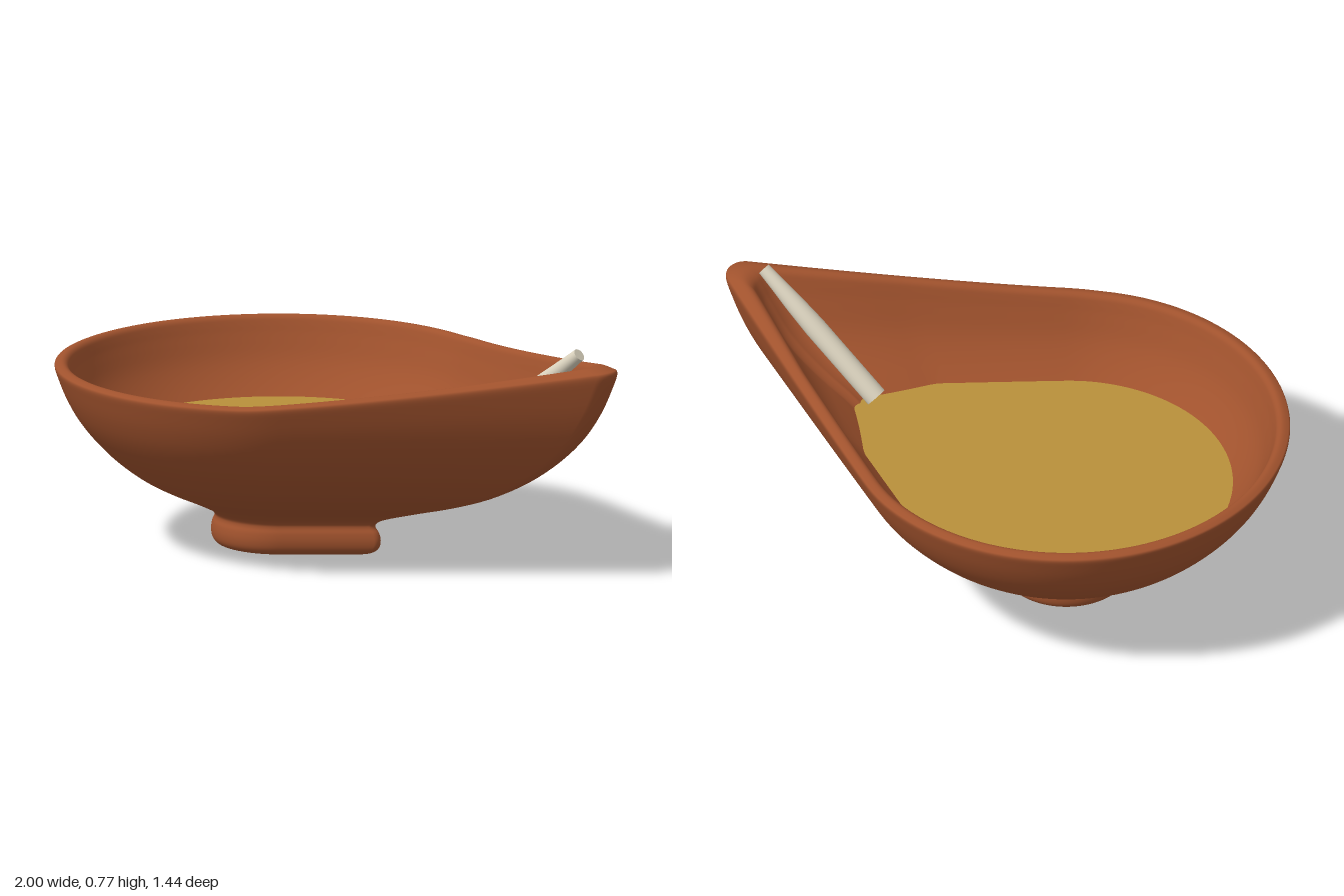
import * as THREE from 'three';

const CX = -0.28, R = 0.72, TIP = 0.07, TIP_X = 1.28 - TIP;

// Teardrop plan around the bowl centre: big arc, straight flanks, small rounded tip
function teardrop() {
  const a = Math.acos((R - TIP) / TIP_X); // direction where the flanks touch both arcs
  const half = [];
  for (let i = 0; i <= 10; i++) {
    const t = (a * i) / 10;
    half.push([TIP_X + TIP * Math.cos(t), TIP * Math.sin(t)]);
  }
  const [x0, z0] = half[10], x1 = R * Math.cos(a), z1 = R * Math.sin(a);
  for (let i = 1; i < 20; i++) half.push([x0 + ((x1 - x0) * i) / 20, z0 + ((z1 - z0) * i) / 20]);
  for (let i = 0; i <= 48; i++) {
    const t = a + ((Math.PI - a) * i) / 48;
    half.push([R * Math.cos(t), R * Math.sin(t)]);
  }
  const mirrored = half.slice(1, -1).reverse().map(([x, z]) => [x, -z]);
  return [...half, ...mirrored];
}

const plan = teardrop();

// 1 along the spout axis, fading to 0 at its flanks
const spout = ([x, z]) => Math.max(0, 1 - Math.abs(Math.atan2(z, x)) / 0.33);

// Joins scaled copies of the plan; place(scale, height, planPoint, ring) gives each vertex
function loft(profile, place) {
  const pos = [], idx = [], n = plan.length;
  profile.forEach(([s, y], j) => plan.forEach((p, i) => {
    pos.push(...place(s, y, p, j));
    if (j === profile.length - 1) return;
    const a = j * n + i, b = a + n, c = j * n + ((i + 1) % n), d = c + n;
    idx.push(a, b, c, c, b, d);
  }));
  const g = new THREE.BufferGeometry();
  g.setAttribute('position', new THREE.Float32BufferAttribute(pos, 3));
  g.setIndex(idx);
  g.computeVertexNormals();
  return g;
}

function mesh(name, geometry, color) {
  const m = new THREE.Mesh(geometry, new THREE.MeshStandardMaterial({ color }));
  m.name = name;
  return m;
}

// Clay bowl: foot, outer wall, rolled lip, inner wall and floor in one skin
function bowl() {
  const outer = [
    [0.24, 0], [0.275, 0.008], [0.295, 0.025], [0.301, 0.05], [0.296, 0.075], [0.286, 0.092],
    [0.289, 0.106], [0.32, 0.125], [0.42, 0.16], [0.52, 0.192], [0.63, 0.235], [0.74, 0.295],
    [0.83, 0.36], [0.9, 0.425], [0.95, 0.49], [0.985, 0.553], [0.998, 0.585],
  ];
  const inner = [
    [0.985, 0.594], [0.96, 0.598], [0.94, 0.59], [0.927, 0.57], [0.905, 0.53], [0.85, 0.45],
    [0.74, 0.36], [0.55, 0.25], [0.3, 0.19], [0.05, 0.18],
  ];
  const curve = new THREE.SplineCurve([...outer, ...inner].map(([s, y]) => new THREE.Vector2(s, y)));
  const steps = (outer.length + inner.length - 1) * 4, insideFrom = outer.length * 4;
  const profile = curve.getPoints(steps).map((p) => [p.x, p.y]);
  profile.unshift([0, 0], [0.23, 0]);
  profile.push([0, 0.18]);

  return loft(profile, (s, y, p, j) => {
    // The rim rises toward the spout, and the spout floor slopes inside
    const rise = 0.122 * Math.pow(Math.max(0, p[0] + CX), 1.3);
    const lift = rise * Math.pow(Math.max(0, (y - 0.15) / 0.44), 2);
    const inset = j > insideFrom ? 0.1 * spout(p) * Math.min(1, (1 - s) / 0.26) * Math.min(1, s / 0.5) : 0;
    const k = s - inset;
    return [CX + p[0] * k, y + lift, p[1] * k];
  });
}

// Flat oil surface, cut short where the spout floor rises
function oil() {
  return loft([[0.745, 0.362], [0, 0.362]], (s, y, p) => {
    const k = s > 0 ? s - 0.12 * spout(p) : 0;
    return [CX + p[0] * k, y, p[1] * k];
  });
}

// Tapered wick leaning from the oil up past the spout
function wick() {
  const low = new THREE.Vector3(0.44, 0.41, 0), high = new THREE.Vector3(0.865, 0.755, 0);
  const dir = high.clone().sub(low), len = dir.length();
  const side = [[0.035, 0], [0.035, 0.55], [0.031, 0.72], [0.024, 0.9], [0.021, 1]];
  const group = new THREE.Group();
  group.name = 'wick';
  const body = new THREE.LatheGeometry(side.map(([r, t]) => new THREE.Vector2(r, t * len)), 24);
  const top = new THREE.CircleGeometry(0.021, 24).rotateX(-Math.PI / 2).translate(0, len, 0);
  const bottom = new THREE.CircleGeometry(0.035, 24).rotateX(Math.PI / 2);
  [['wickBody', body], ['wickTop', top], ['wickBottom', bottom]].forEach(([name, g]) => group.add(mesh(name, g, 0xd8d0bc)));
  group.position.copy(low);
  group.quaternion.setFromUnitVectors(new THREE.Vector3(0, 1, 0), dir.normalize());
  return group;
}

export function createModel() {
  const model = new THREE.Group();
  model.name = 'oilLamp';
  model.add(mesh('bowl', bowl(), 0xa0522d), mesh('oil', oil(), 0xb8903a), wick());
  return model;
}
